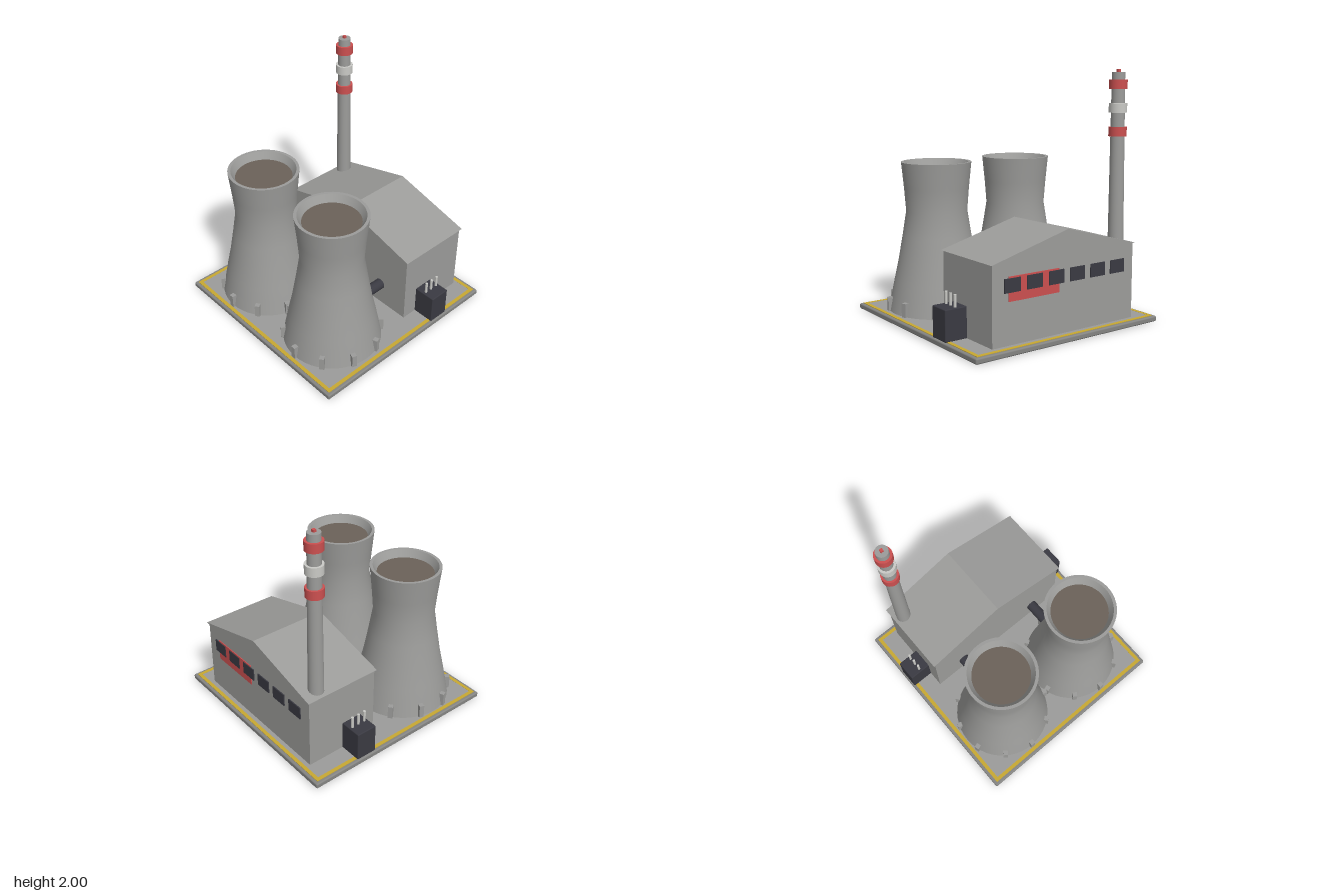
import * as THREE from 'three';
import { RoundedBoxGeometry } from 'three/addons/geometries/RoundedBoxGeometry.js';

const mat = (name, color, side = THREE.FrontSide) => {
  const m = new THREE.MeshStandardMaterial({ color, side });
  m.name = name;
  return m;
};

export function createModel() {
  const concrete = mat('concrete grey', 0x9c9c9a, THREE.DoubleSide);
  const kerb = mat('kerb grey', 0x858583);
  const yellow = mat('line yellow', 0xc8a832);
  const dark = mat('dark steel', 0x3a3a42);
  const red = mat('warning red', 0xcc5050);
  const white = mat('pale grey', 0xcacac6);
  const brown = mat('shaft brown', 0x6b6259);

  const model = new THREE.Group();
  model.name = 'powerPlant';
  const add = (name, geo, material, x = 0, y = 0, z = 0, parent = model) => {
    const mesh = new THREE.Mesh(geo, material);
    mesh.name = name;
    mesh.position.set(x, y, z);
    parent.add(mesh);
    return mesh;
  };
  const box = (w, h, d) => new THREE.BoxGeometry(w, h, d);
  const lathe = (pts) => new THREE.LatheGeometry(pts.map(([r, y]) => new THREE.Vector2(r, y)), 48);

  // Base slab, painted border and yard
  add('baseSlab', new RoundedBoxGeometry(1.75, 0.045, 1.75, 2, 0.012), kerb, 0, 0.0225, 0);
  add('yard', box(1.64, 0.004, 1.64), concrete, 0, 0.046, 0);
  for (const s of [-1, 1]) {
    add('borderLineX', box(1.7, 0.006, 0.03), yellow, 0, 0.046, s * 0.835);
    add('borderLineZ', box(0.03, 0.006, 1.64), yellow, s * 0.835, 0.046, 0);
  }

  // Cooling towers with footing blocks around the foot
  const outer = [[0.403, 0.045], [0.378, 0.17], [0.354, 0.29], [0.319, 0.45],
    [0.282, 0.66], [0.25, 0.86], [0.265, 1.05], [0.286, 1.26]];
  for (const z of [-0.409, 0.393]) {
    const tower = new THREE.Group();
    tower.name = 'coolingTower';
    tower.position.set(-0.397, 0, z);
    model.add(tower);
    add('towerShell', lathe(outer), concrete, 0, 0, 0, tower);
    add('towerRim', lathe([[0.286, 1.26], [0.262, 1.26]]), concrete, 0, 0, 0, tower);
    add('towerInside', lathe([[0.262, 1.26], [0.226, 1.195]]), concrete, 0, 0, 0, tower);
    const shaft = add('towerShaft', new THREE.CircleGeometry(0.23, 48), brown, 0, 1.2, 0, tower);
    shaft.rotation.x = -Math.PI / 2;
    for (let i = 0; i < 10; i++) {
      const a = (i / 10) * Math.PI * 2;
      const foot = add('towerFoot', box(0.04, 0.115, 0.04), concrete,
        Math.cos(a) * 0.4, 0.1025, Math.sin(a) * 0.4, tower);
      foot.rotation.y = -a;
    }
  }

  // Pipes between the towers and the hall
  for (const z of [-0.395, 0.395]) {
    const pipe = add('pipe', new THREE.CylinderGeometry(0.046, 0.046, 0.22, 20), dark, 0.06, 0.245, z);
    pipe.rotation.z = Math.PI / 2;
  }

  // Turbine hall with gabled roof
  add('hallWalls', box(0.633, 0.61, 1.355), concrete, 0.4685, 0.35, 0);
  const gable = new THREE.Shape();
  gable.moveTo(-0.693, 0.653);
  gable.lineTo(0.693, 0.653);
  gable.lineTo(0, 0.838);
  gable.closePath();
  const roof = add('hallRoof', new THREE.ExtrudeGeometry(gable, { depth: 0.66, bevelEnabled: false }), concrete, 0.14);
  roof.rotation.y = Math.PI / 2;

  // Windows and red panel on the outer wall
  add('redPanel', box(0.008, 0.183, 0.46), red, 0.788, 0.4615, 0.305);
  for (let i = 0; i < 6; i++) {
    add('window', box(0.009, 0.104, 0.143), dark, 0.7925, 0.489, 0.506 - i * 0.2024);
  }

  // Transformers at both ends, each with three insulators
  for (const s of [-1, 1]) {
    add('transformer', new RoundedBoxGeometry(0.178, 0.245, 0.19, 2, 0.008), dark, 0.376, 0.1675, s * 0.768);
    for (let i = -1; i <= 1; i++) {
      add('insulator', new THREE.CylinderGeometry(0.011, 0.011, 0.11, 10), white, 0.377 + i * 0.06, 0.33, s * 0.76);
    }
  }

  // Chimney with warning bands and top light
  const cx = 0.665, cz = -0.607;
  add('chimney', new THREE.CylinderGeometry(0.051, 0.062, 1.34, 24), concrete, cx, 1.31, cz);
  for (const [y, m] of [[1.885, red], [1.705, white], [1.522, red]]) {
    add('chimneyBand', new THREE.CylinderGeometry(0.071, 0.071, 0.073, 24), m, cx, y, cz);
  }
  add('chimneyLight', box(0.024, 0.03, 0.024), red, cx, 1.985, cz);

  return model;
}
